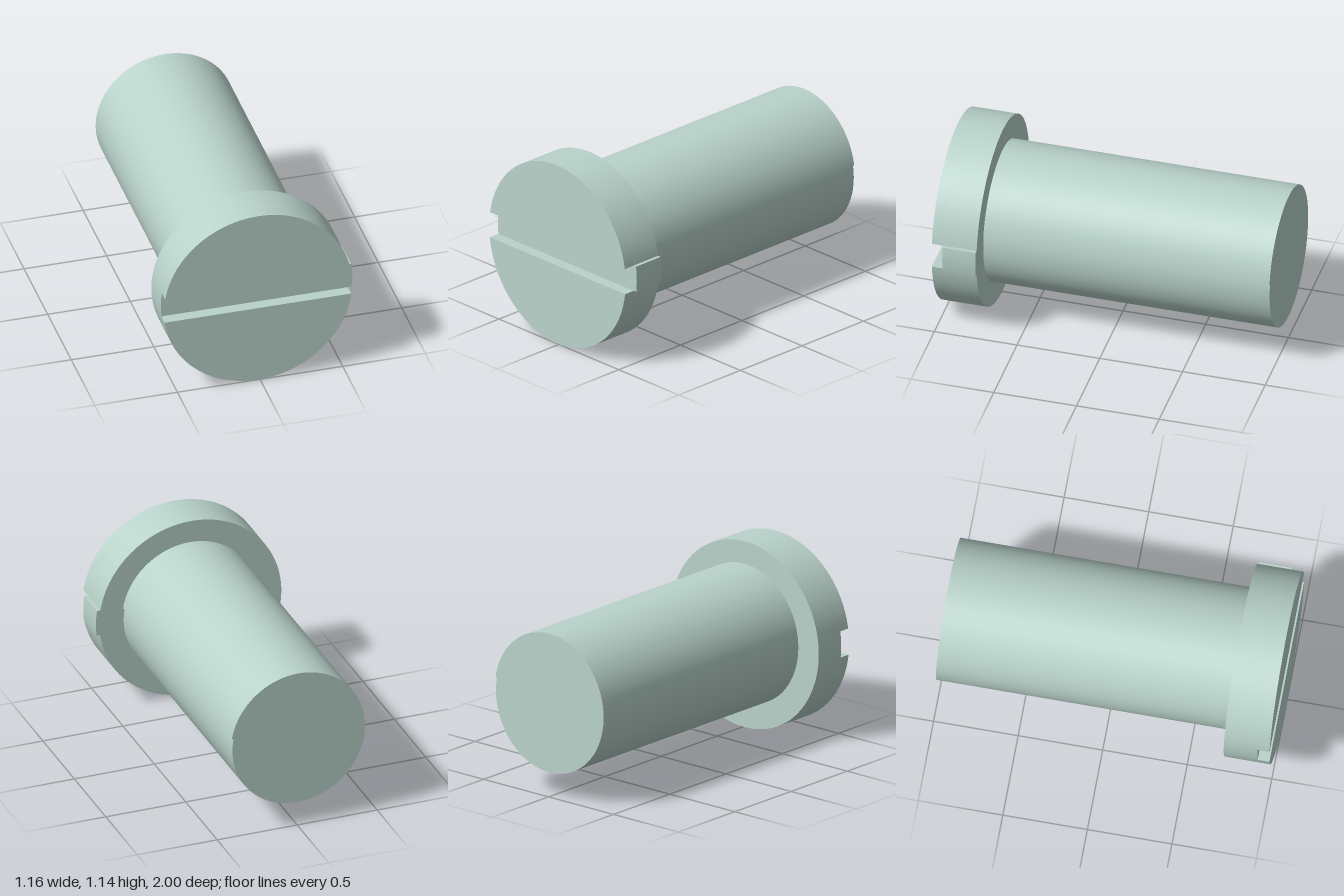
import * as THREE from 'three';
import { toCreasedNormals } from 'three/addons/utils/BufferGeometryUtils.js';

const material = new THREE.MeshStandardMaterial({ color: 0xb9d3ca });

const HEAD = { x: -0.012, y: 0.568, r: 0.569 };
const SLOT = { bottom: 0.497, top: 0.657 };
const Z = { back: -1, collar: 0.73, slotFloor: 0.93, front: 1 };

// Points along an arc; radius may be a function of progress t (0..1)
function arc(cx, cy, rx, ry, a0, a1, n, scale = () => 1) {
  const points = [];
  for (let i = 0; i <= n; i++) {
    const t = i / n, a = a0 + (a1 - a0) * t, s = scale(t);
    points.push(new THREE.Vector2(cx + rx * s * Math.cos(a), cy + ry * s * Math.sin(a)));
  }
  return points;
}

// Extrude an outline between two z values, smooth around the curve
function prism(name, points, z0, z1) {
  const solid = new THREE.ExtrudeGeometry(new THREE.Shape(points), { depth: z1 - z0, bevelEnabled: false });
  const mesh = new THREE.Mesh(toCreasedNormals(solid, 0.4), material);
  mesh.name = name;
  mesh.position.z = z0;
  return mesh;
}

export function createModel() {
  const model = new THREE.Group();
  model.name = 'slottedScrew';

  const headArc = (a0, a1, n, r = HEAD.r) => arc(HEAD.x, HEAD.y, r, r, a0, a1, n);
  const angleAt = (y, r = HEAD.r) => Math.asin((y - HEAD.y) / r);
  const high = angleAt(SLOT.top), low = angleAt(SLOT.bottom);

  // Shank: round, with a fine lengthwise step on its left side
  const seam = 0.165;
  const shrink = (t) => 1 - 0.026 * Math.max(0, (t - 0.8) / 0.2);
  const shankOutline = arc(-0.005, 0.575, 0.419, 0.424, seam, seam + Math.PI * 2, 128, shrink);
  model.add(prism('shank', shankOutline, Z.back, Z.collar));

  // Head base: disc up to the slot floor, with a raised tab at one slot end
  const tabR = 0.59;
  const tab = headArc(angleAt(SLOT.bottom, tabR), angleAt(SLOT.top, tabR), 10, tabR);
  const disc = headArc(high, Math.PI * 2 + low, 128);
  model.add(prism('headBase', [...disc, ...tab], Z.collar, Z.slotFloor));

  // Two head segments either side of the slot
  model.add(prism('upperHeadSegment', headArc(high, Math.PI - high, 64), Z.slotFloor, Z.front));
  model.add(prism('lowerHeadSegment', headArc(Math.PI - low, Math.PI * 2 + low, 64), Z.slotFloor, Z.front));

  return model;
}
